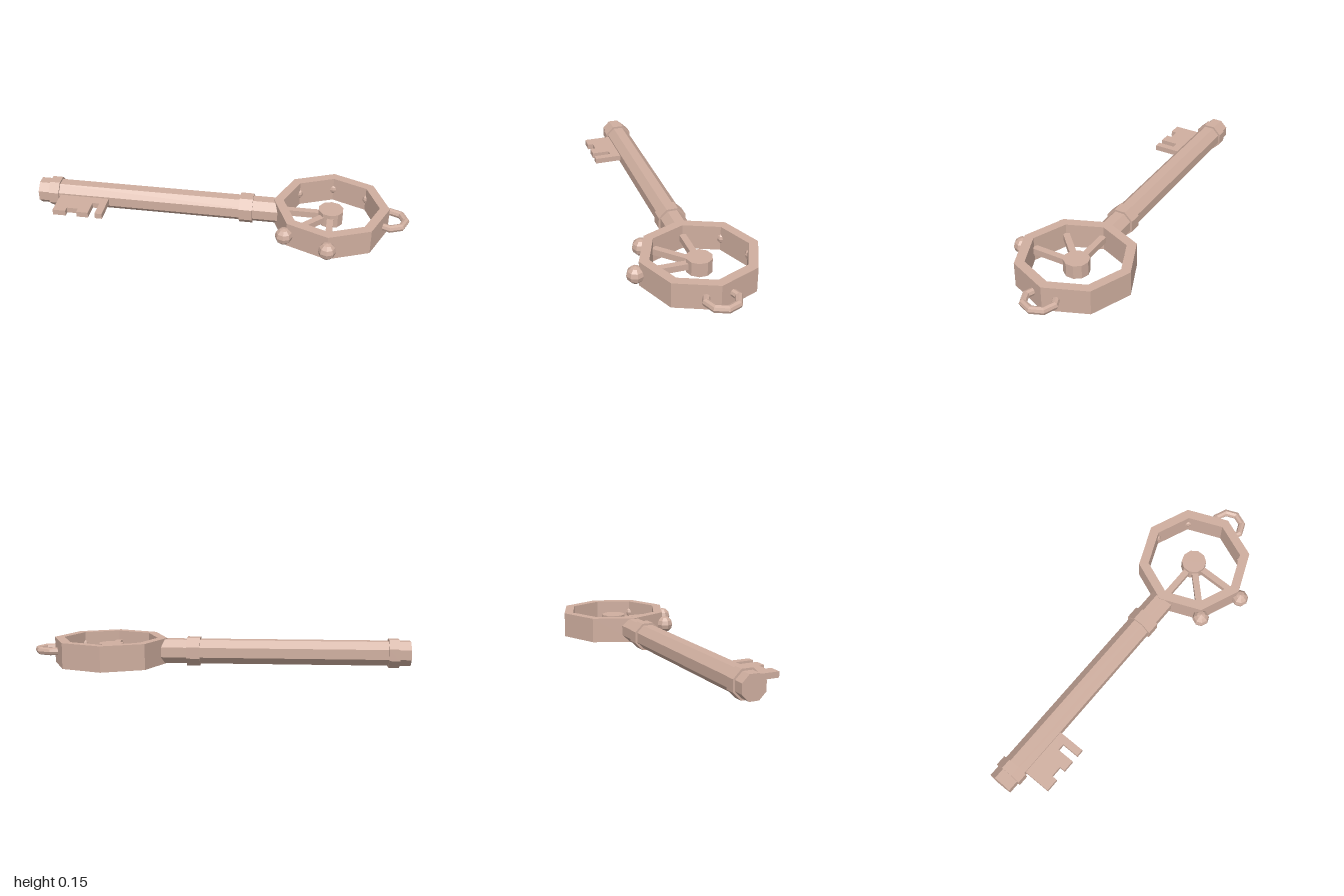
import * as THREE from 'three';

const AXIS_Y = 0.074, AXIS_Z = -0.033, BOW_X = 0.588;

export function createModel() {
  const key = new THREE.Group();
  key.name = 'key';
  const bronze = new THREE.MeshStandardMaterial({ color: 0xcfae9f, flatShading: true });
  bronze.name = 'pale bronze';

  const add = (name, geometry, x = 0, y = 0, z = 0) => {
    const mesh = new THREE.Mesh(geometry, bronze);
    mesh.name = name;
    mesh.position.set(x, y, z);
    key.add(mesh);
    return mesh;
  };

  // Octagonal rod along x, flat side up; half = distance from axis to flat
  const rod = (name, x0, x1, half) => {
    const r = half / Math.cos(Math.PI / 8);
    const g = new THREE.CylinderGeometry(r, r, x1 - x0, 8, 1, false, Math.PI / 8);
    g.rotateZ(Math.PI / 2);
    add(name, g, (x0 + x1) / 2, AXIS_Y, AXIS_Z);
  };
  rod('shaft', -1, 0.32, 0.063);
  rod('tipCollar', -0.94, -0.885, 0.0735);
  rod('neckCollar', 0.105, 0.175, 0.0735);

  // Flat plate drawn in plan (x, z) and given a height
  const plate = (name, shape, y0, y1) => {
    const g = new THREE.ExtrudeGeometry(shape, { depth: y1 - y0, bevelEnabled: false });
    g.rotateX(-Math.PI / 2);
    return add(name, g, 0, y0, 0);
  };

  // Toothed bit
  const outline = [
    [-0.875, 0], [-0.875, 0.177], [-0.805, 0.177], [-0.805, 0.147], [-0.745, 0.147],
    [-0.745, 0.177], [-0.682, 0.177], [-0.682, 0.082], [-0.645, 0.082],
    [-0.645, 0.177], [-0.606, 0.177], [-0.606, 0],
  ];
  plate('bit', new THREE.Shape(outline.map(([x, z]) => new THREE.Vector2(x, -z))), 0.062, 0.092);

  // Octagonal bow ring
  const octagon = (r) => Array.from({ length: 8 }, (_, i) =>
    new THREE.Vector2(r * Math.cos(i * Math.PI / 4), r * Math.sin(i * Math.PI / 4)));
  const ring = new THREE.Shape(octagon(0.304));
  ring.holes.push(new THREE.Path(octagon(0.252)));
  plate('bow', ring, 0.007, 0.142).position.set(BOW_X, 0.007, AXIS_Z);

  // Hub and its three spokes
  add('hub', new THREE.CylinderGeometry(0.067, 0.067, 0.075, 10), BOW_X, AXIS_Y, AXIS_Z);
  const atAngle = (name, geometry, angle, radius) =>
    add(name, geometry, BOW_X + radius * Math.cos(angle), AXIS_Y, AXIS_Z + radius * Math.sin(angle));
  for (const eighth of [2, 3, 4]) {
    const a = eighth * Math.PI / 4;
    atAngle('spoke', new THREE.BoxGeometry(0.235, 0.034, 0.034), a, 0.1475).rotation.y = -a;
  }

  // Outer knobs, and studs set in the inner corners
  for (const eighth of [2, 3]) {
    atAngle('knob', new THREE.SphereGeometry(0.046, 8, 6), eighth * Math.PI / 4, 0.321);
  }
  for (const eighth of [1, 5, 6, 7]) {
    atAngle('stud', new THREE.SphereGeometry(0.03, 8, 6), eighth * Math.PI / 4, 0.268);
  }

  // Hanging loop, its open ends buried in the bow
  const loop = new THREE.TorusGeometry(0.08, 0.02, 8, 6, Math.PI * 1.5);
  loop.rotateZ(-Math.PI * 0.75);
  loop.rotateX(-Math.PI / 2);
  add('loop', loop, 0.9, AXIS_Y, AXIS_Z);

  return key;
}
